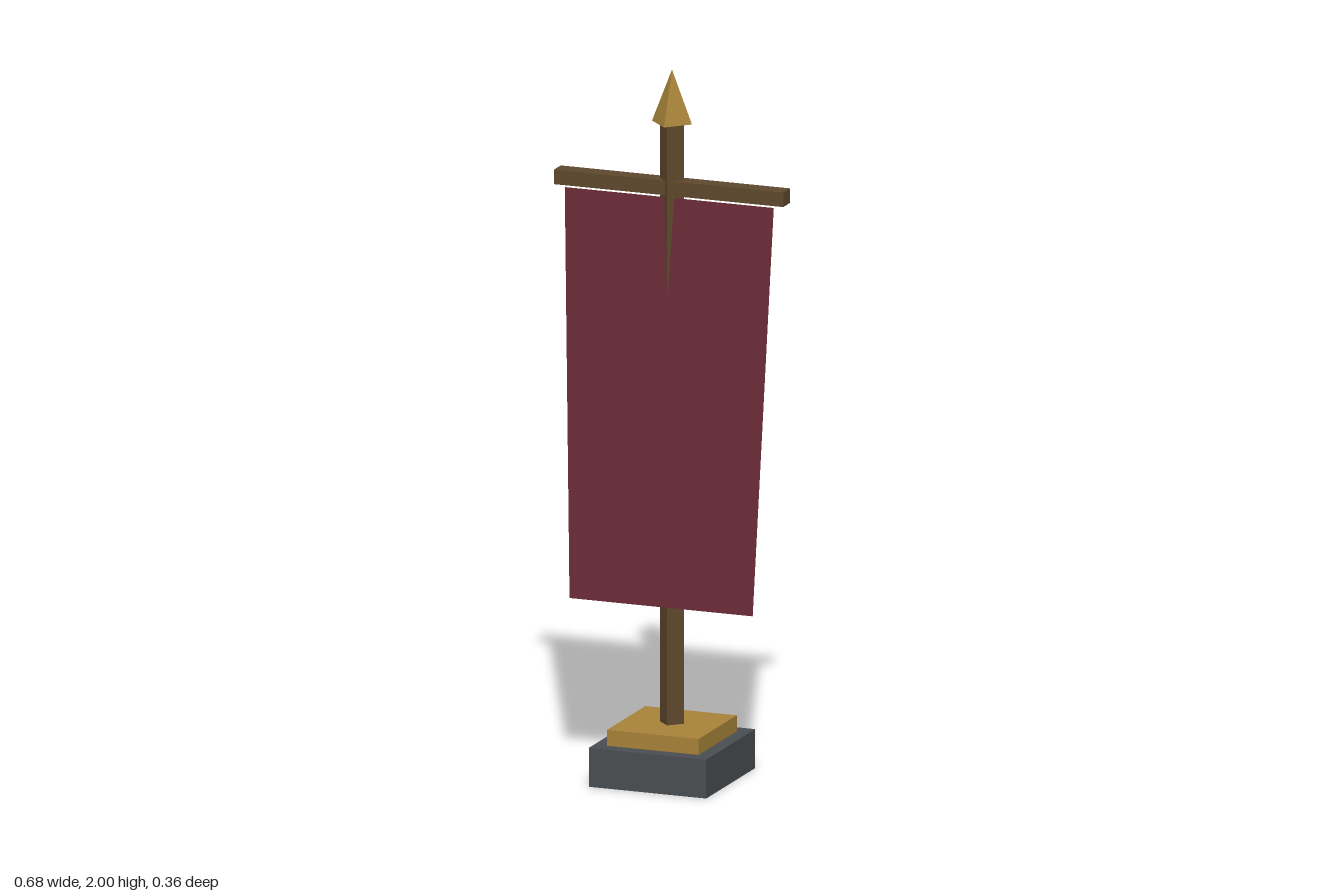
import * as THREE from 'three';

const material = (name, color, side = THREE.DoubleSide) => {
  const m = new THREE.MeshStandardMaterial({ color, side, flatShading: true });
  m.name = name;
  return m;
};

export function createModel() {
  const group = new THREE.Group();
  group.name = 'bannerStand';

  const stone = material('darkStone', 0x4a4e52);
  const gold = material('agedGold', 0xa88339);
  const wood = material('darkWood', 0x5f482d);
  const cloth = material('wineCloth', 0x6b2c39);

  const add = (name, geometry, mat, y = 0) => {
    const mesh = new THREE.Mesh(geometry, mat);
    mesh.name = name;
    mesh.position.y = y;
    group.add(mesh);
  };

  // Box without its underside (box face order: +x, -x, +y, -y, +z, -z)
  const openBox = (w, h, d) => {
    const g = new THREE.BoxGeometry(w, h, d);
    const index = Array.from(g.index.array);
    index.splice(18, 6);
    g.setIndex(index);
    g.clearGroups();
    return g;
  };

  // Stepped, hollow foot
  add('base', openBox(0.346, 0.11, 0.36), stone, 0.055);
  add('plinth', openBox(0.27, 0.049, 0.28), gold, 0.1305);

  // Four-sided pole with its edges on the x and z axes
  add('pole', new THREE.CylinderGeometry(0.035, 0.035, 1.71, 4), wood, 1.0);

  // Pyramid spear tip, open below
  const tip = new THREE.ConeGeometry(0.059, 0.15, 4, 1, true);
  add('spearTip', tip, gold, 1.925);

  // Crossbar
  add('crossbar', new THREE.BoxGeometry(0.676, 0.041, 0.05), wood, 1.67);

  // Tapered cloth, leaning forward towards the bottom
  const banner = new THREE.PlaneGeometry(2, 1);
  const p = banner.attributes.position;
  for (let i = 0; i < p.count; i++) {
    const top = p.getY(i) > 0;
    const x = Math.sign(p.getX(i)) * (top ? 0.308 : 0.27);
    p.setXYZ(i, x, top ? 1.643 : 0.5, top ? 0.02 : 0.08);
  }
  banner.computeVertexNormals();
  add('banner', banner, cloth);

  return group;
}
